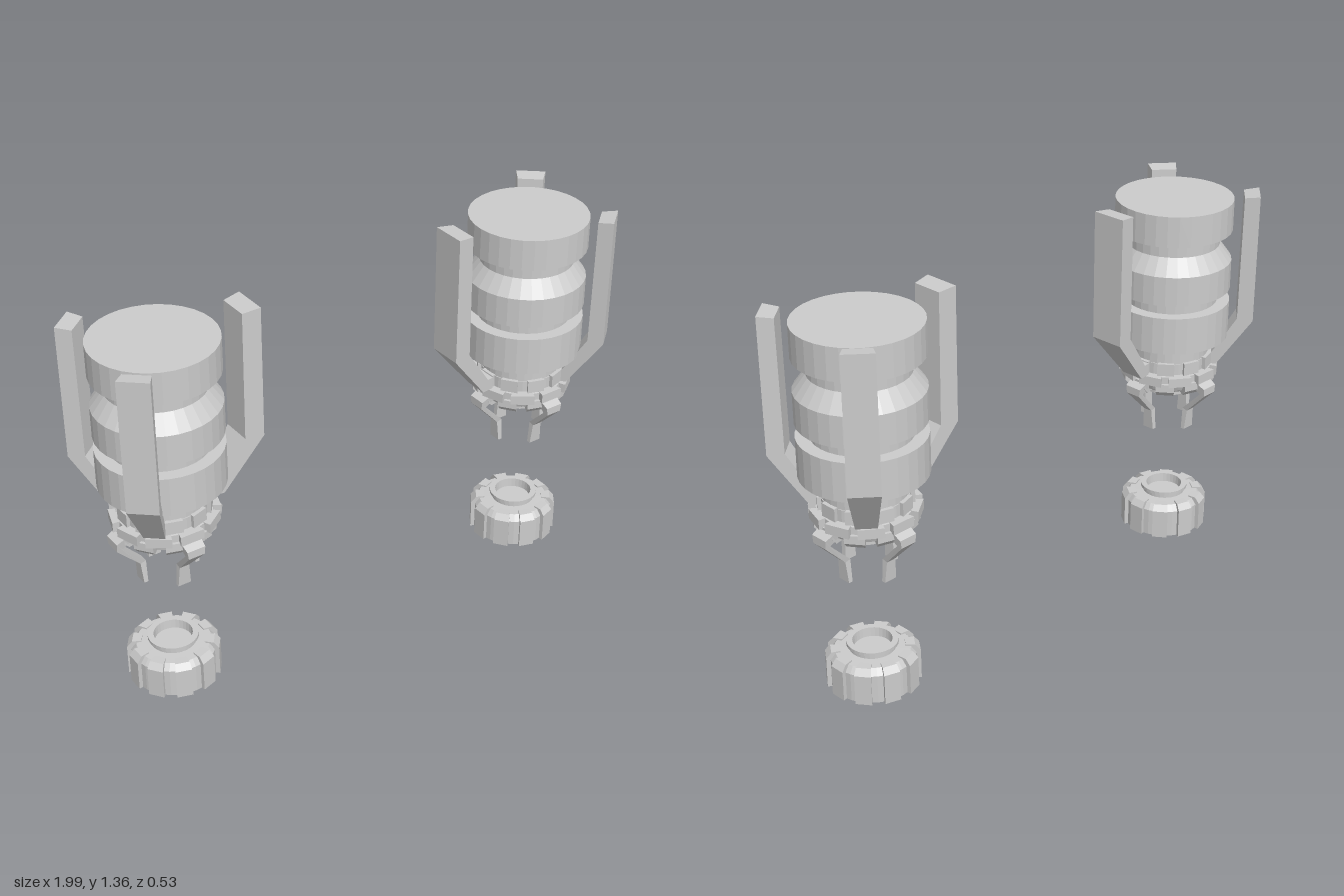
import * as THREE from 'three';

const material = new THREE.MeshStandardMaterial({ color: 0xcccccc, flatShading: true });

function addMesh(parent, name, geometry) {
  const mesh = new THREE.Mesh(geometry, material);
  mesh.name = name;
  parent.add(mesh);
  return mesh;
}

// Turned part from [radius, y] points listed upward along the outside
function turned(points, sides = 32) {
  return new THREE.LatheGeometry(points.map(([r, y]) => new THREE.Vector2(r, y)), sides);
}

// Radial block: [radius, y] outline whose half width follows a rule
function wedge(outline, halfWidth) {
  const shape = new THREE.Shape(outline.map(([r, y]) => new THREE.Vector2(r, y)));
  const geometry = new THREE.ExtrudeGeometry(shape, { depth: 2, bevelEnabled: false });
  geometry.translate(0, 0, -1);
  const p = geometry.attributes.position;
  for (let i = 0; i < p.count; i++) p.setZ(i, p.getZ(i) * halfWidth(p.getX(i), p.getY(i)));
  geometry.computeVertexNormals();
  return geometry;
}

function ringOf(parent, name, count, geometry, start = 0) {
  const ring = new THREE.Group();
  ring.name = name;
  for (let i = 0; i < count; i++) {
    addMesh(ring, name + 'Piece', geometry).rotation.y = start + (i * 2 * Math.PI) / count;
  }
  parent.add(ring);
}

function createUnit() {
  const unit = new THREE.Group();

  // Stepped canister
  addMesh(unit, 'canister', turned([
    [0, 0.72], [0.145, 0.72], [0.145, 0.773], [0.13, 0.773], [0.13, 0.805], [0.215, 0.805],
    [0.215, 0.945], [0.17, 0.945], [0.17, 0.995], [0.215, 0.995], [0.215, 1.105],
    [0.17, 1.165], [0.17, 1.22], [0.215, 1.22], [0.215, 1.335], [0, 1.335],
  ]));

  // Hollow nozzle collar below the canister
  addMesh(unit, 'nozzleCollar', turned([
    [0, 0.62], [0.07, 0.62], [0.07, 0.577], [0.086, 0.577], [0.086, 0.59], [0.077, 0.592],
    [0.077, 0.603], [0.115, 0.605], [0.148, 0.625], [0.163, 0.66], [0.163, 0.687],
    [0.148, 0.69], [0.148, 0.733], [0, 0.733],
  ], 30));

  // Three staggered rows of collar blocks
  const tenth = Math.PI / 10;
  ringOf(unit, 'upperCollarBlocks', 10,
    wedge([[0.12, 0.69], [0.158, 0.69], [0.158, 0.737], [0.12, 0.737]], (r) => r * 0.2));
  ringOf(unit, 'middleCollarBlocks', 10,
    wedge([[0.13, 0.655], [0.182, 0.655], [0.182, 0.69], [0.13, 0.69]], (r) => r * 0.24), tenth);
  ringOf(unit, 'lowerCollarBlocks', 10,
    wedge([[0.12, 0.61], [0.155, 0.61], [0.173, 0.63], [0.173, 0.66], [0.12, 0.66]], (r) => r * 0.2));

  // Four bent claws
  ringOf(unit, 'claws', 4, wedge([
    [0.15, 0.655], [0.15, 0.63], [0.18, 0.61], [0.092, 0.52], [0.092, 0.437],
    [0.107, 0.437], [0.113, 0.515], [0.201, 0.608], [0.201, 0.637], [0.165, 0.655],
  ], (r, y) => (y < 0.5 ? 0.024 : 0.018 + Math.max(0, y - 0.525) * 0.14)));

  // Inner support arm and two slimmer outer arms
  const arm = wedge([
    [0.293, 1.35], [0.288, 0.88], [0.185, 0.735], [0.16, 0.735], [0.16, 0.69],
    [0.207, 0.69], [0.356, 0.875], [0.358, 1.357],
  ], (r) => 0.015 + 0.14 * r);
  addMesh(unit, 'innerArm', arm);
  for (const side of [-1, 1]) {
    const outer = addMesh(unit, 'outerArm', arm);
    outer.rotation.y = Math.PI + side * 0.862;
    outer.scale.set(0.85, 1, 0.82);
  }

  // Separate cap with a hollow lip and grip pads
  addMesh(unit, 'cap', turned([
    [0, 0], [0.148, 0], [0.148, 0.105], [0.13, 0.128], [0.08, 0.13], [0.08, 0.143],
    [0.089, 0.146], [0.089, 0.158], [0.068, 0.158], [0.065, 0.125], [0, 0.125],
  ], 30));
  ringOf(unit, 'capGrips', 10, wedge([
    [0.11, 0], [0.16, 0], [0.16, 0.112], [0.142, 0.134], [0.11, 0.134],
  ], (r) => r * 0.18));

  return unit;
}

export function createModel() {
  const model = new THREE.Group();
  model.name = 'pairedCanisters';
  // Inner arms face each other
  for (const side of [-1, 1]) {
    const unit = createUnit();
    unit.name = side < 0 ? 'rightUnit' : 'leftUnit';
    unit.position.x = side * 0.758;
    if (side > 0) unit.rotation.y = Math.PI;
    model.add(unit);
  }
  return model;
}
